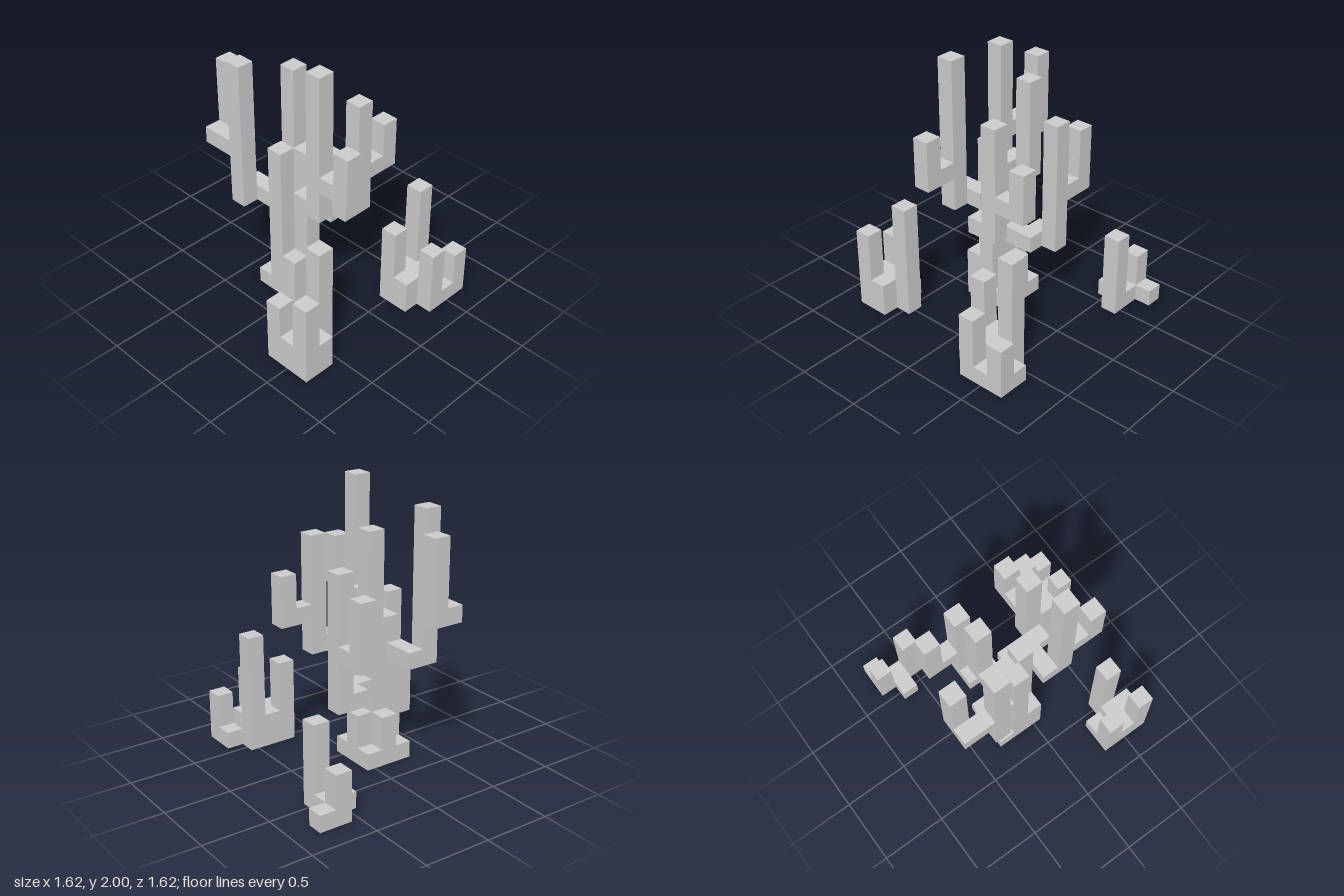
import * as THREE from 'three';
import { mergeGeometries } from 'three/addons/utils/BufferGeometryUtils.js';

const U = 0.125; // edge of one cube

// Each part is a list of cube columns: [x, z, bottom, top] in cube units
const parts = {
  trunk: [[-1, 0, 0, 10], [-1, -1, 0, 9], [-2, -1, 0, 10]],
  roots: [[-2, 0, 0, 3], [0, 0, 0, 1], [0, -1, 0, 3], [0, -2, 0, 1], [-1, -2, 0, 3], [-2, -2, 0, 1]],
  frontLeftBranch: [[-1, 1, 7, 8], [-2, 1, 7, 8], [-2, 2, 7, 16], [-2, 3, 9, 10], [-2, 4, 9, 12]],
  frontRightBranch: [[0, 0, 6, 7], [0, 1, 6, 7], [0, 2, 6, 7], [1, 2, 6, 13], [2, 2, 8, 9], [3, 2, 8, 11]],
  backLeftBranch: [[-2, -2, 6, 7], [-2, -3, 6, 7], [-3, -3, 6, 15], [-3, -4, 9, 10], [-3, -5, 9, 10], [-2, -5, 9, 14]],
  backRightBranch: [[0, -1, 4, 5], [1, -1, 4, 5], [1, -2, 4, 5], [2, -2, 4, 12], [2, -3, 7, 8], [2, -4, 7, 11]],
  topBranch: [[-1, -2, 8, 9], [0, -2, 8, 14]],
  backSprout: [[5, -4, 0, 5], [5, -5, 0, 1], [5, -6, 0, 3], [6, -6, 0, 1], [4, -5, 0, 1]],
  sideSprout: [[-6, 3, 0, 4], [-6, 4, 0, 2], [-6, 5, 0, 5], [-5, 3, 0, 1], [-5, 4, 0, 2], [-5, 5, 0, 2], [-4, 4, 0, 7]],
  frontSprout: [[2, 4, 0, 5], [3, 4, 0, 2], [4, 4, 0, 7], [2, 5, 0, 2], [3, 5, 0, 2], [4, 5, 0, 2], [5, 5, 0, 1],
    [3, 6, 0, 4], [4, 6, 0, 1], [5, 6, 0, 3]],
};

const directions = [[1, 0, 0], [-1, 0, 0], [0, 1, 0], [0, -1, 0], [0, 0, 1], [0, 0, -1]];
const key = (x, y, z) => `${x},${y},${z}`;

// Calls fn for every cube of a part
function eachCube(columns, fn) {
  for (const [x, z, bottom, top] of columns) {
    for (let y = bottom; y < top; y++) fn(x, y, z);
  }
}

// One outward square on the given side of a cube
function cubeFace(x, y, z, [dx, dy, dz]) {
  const face = new THREE.PlaneGeometry(U, U);
  const turn = new THREE.Quaternion().setFromUnitVectors(
    new THREE.Vector3(0, 0, 1), new THREE.Vector3(dx, dy, dz));
  if (dz === -1) turn.setFromAxisAngle(new THREE.Vector3(0, 1, 0), Math.PI);
  face.applyQuaternion(turn);
  return face.translate((x + dx / 2) * U, (y + 0.5 + dy / 2) * U, (z + dz / 2) * U);
}

export function createModel() {
  const model = new THREE.Group();
  model.name = 'branchingPlant';
  const material = new THREE.MeshStandardMaterial({ color: 0xcccccc, flatShading: true });

  // Filled cubes, so that only the outer skin is built
  const filled = new Set();
  for (const columns of Object.values(parts)) {
    eachCube(columns, (x, y, z) => filled.add(key(x, y, z)));
  }

  for (const [name, columns] of Object.entries(parts)) {
    const faces = [];
    eachCube(columns, (x, y, z) => {
      for (const d of directions) {
        if (!filled.has(key(x + d[0], y + d[1], z + d[2]))) faces.push(cubeFace(x, y, z, d));
      }
    });
    const mesh = new THREE.Mesh(mergeGeometries(faces), material);
    mesh.name = name;
    model.add(mesh);
  }
  return model;
}
